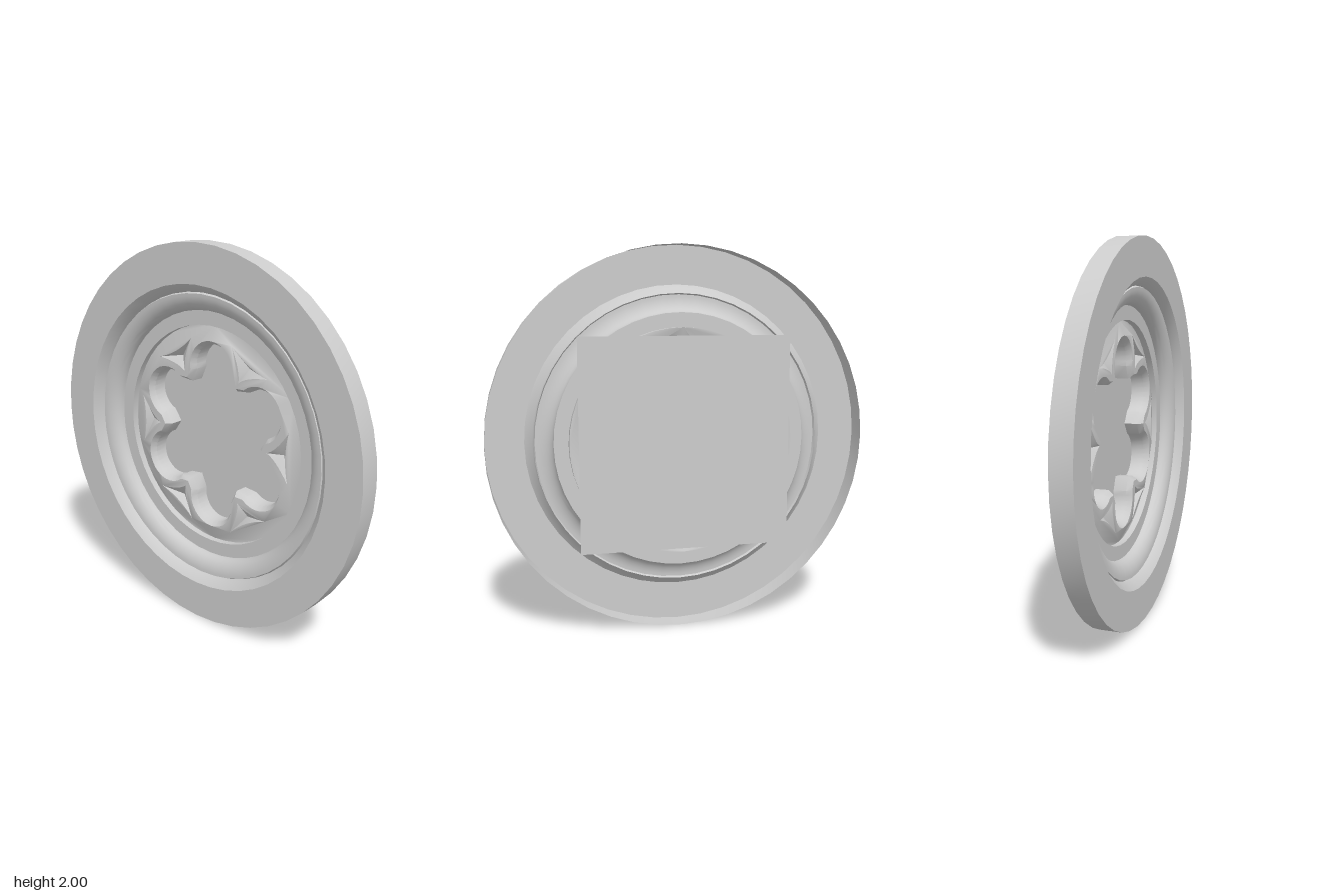
import * as THREE from 'three';
import { toCreasedNormals } from 'three/addons/utils/BufferGeometryUtils.js';

const material = new THREE.MeshStandardMaterial({ color: 0xcccccc, side: THREE.DoubleSide });
const BACK = -0.107;

function part(name, geometry) {
  const mesh = new THREE.Mesh(geometry, material);
  mesh.name = name;
  return mesh;
}

const polar = (r, a) => new THREE.Vector2(r * Math.cos(a), r * Math.sin(a));

// Six-lobed outline: round lobes joined by short straights that meet in cusps
function foil(lobeRadius, cuspRadius) {
  const points = [];
  for (let i = 0; i < 6; i++) {
    const axis = Math.PI / 6 + i * Math.PI / 3;
    const centre = polar(0.36, axis);
    for (let k = 0; k <= 16; k++) {
      points.push(polar(lobeRadius, axis + (k / 8 - 1) * 1.74).add(centre));
    }
    points.push(polar(cuspRadius, axis + Math.PI / 6));
  }
  return points;
}

// Three-pointed outline with hollow sides, set outside a cusp
function spandrel(angle) {
  const tips = [polar(0.37, 0), polar(0.52, 0.255), polar(0.52, -0.255)];
  const pulls = [polar(0.428, 0.045), polar(0.468, 0), polar(0.428, -0.045)];
  const points = [];
  tips.forEach((tip, i) => {
    const curve = new THREE.QuadraticBezierCurve(tip, pulls[i], tips[(i + 1) % 3]);
    points.push(...curve.getPoints(8).slice(0, 8));
  });
  return points.map((p) => p.rotateAround(new THREE.Vector2(), angle));
}

// Skin between closed loops of equal length, each { points, z }
function loft(loops) {
  const n = loops[0].points.length;
  const positions = [];
  const index = [];
  loops.forEach(({ points, z }) => points.forEach((p) => positions.push(p.x, p.y, z)));
  for (let j = 0; j + 1 < loops.length; j++) {
    for (let i = 0; i < n; i++) {
      const a = j * n + i;
      const b = j * n + (i + 1) % n;
      index.push(a, b, a + n, b, b + n, a + n);
    }
  }
  const geometry = new THREE.BufferGeometry();
  geometry.setAttribute('position', new THREE.Float32BufferAttribute(positions, 3));
  geometry.setIndex(index);
  return toCreasedNormals(geometry, 0.6);
}

export function createModel() {
  const group = new THREE.Group();
  group.name = 'roundel';

  // Open-backed frame: outer wall, flat face, chamfer, round moulding, inner step
  const profile = [[1, 0], [1, 0.11], [0.8, 0.11], [0.762, 0.075], [0.756, 0.055]];
  for (let k = 0; k <= 10; k++) {
    const a = (k / 10) * Math.PI * 0.5;
    profile.push([0.66 + 0.09 * Math.cos(Math.PI / 2 - a + Math.PI / 2) + 0.09, 0]);
    const p = profile[profile.length - 1];
    p[0] = 0.75 - 0.09 * Math.sin(a);
    p[1] = 0.068 * Math.cos(a);
  }
  profile.push([0.585, 0], [0.585, -0.035]);
  const frame = new THREE.LatheGeometry(profile.map(([r, z]) => new THREE.Vector2(r, z)), 48);
  frame.rotateX(Math.PI / 2);
  group.add(part('mouldedFrame', toCreasedNormals(frame, 0.6)));

  // Gently domed panel pierced by the foil and the spandrels
  const outerFoil = foil(0.145, 0.335);
  const innerFoil = foil(0.125, 0.31);
  const spandrels = Array.from({ length: 6 }, (_, i) => spandrel(i * Math.PI / 3));
  const rim = Array.from({ length: 48 }, (_, i) => polar(0.585, i * Math.PI / 24));
  const shape = new THREE.Shape(rim);
  [outerFoil, ...spandrels].forEach((hole) => shape.holes.push(new THREE.Path(hole)));
  const panel = new THREE.ShapeGeometry(shape);
  const pos = panel.attributes.position;
  for (let i = 0; i < pos.count; i++) {
    pos.setZ(i, Math.hypot(pos.getX(i), pos.getY(i)) > 0.57 ? -0.035 : -0.006);
  }
  panel.computeVertexNormals();
  group.add(part('piercedPanel', panel));

  // Bevelled edge and straight wall of the foil opening
  group.add(part('foilWall', loft([
    { points: outerFoil, z: -0.006 },
    { points: innerFoil, z: -0.036 },
    { points: innerFoil, z: BACK },
  ])));

  // Sunken spandrels, each falling to a single low point
  spandrels.forEach((points, i) => {
    const low = polar(0.455, i * Math.PI / 3);
    group.add(part('spandrel', loft([
      { points, z: -0.006 },
      { points: points.map(() => low), z: -0.042 },
    ])));
  });

  // Square backing sheet behind the opening
  const backing = part('backingSheet', new THREE.PlaneGeometry(1.09, 1.09));
  backing.position.z = BACK;
  group.add(backing);

  group.position.y = 1;
  const model = new THREE.Group();
  model.name = 'foilRoundel';
  model.add(group);
  return model;
}
